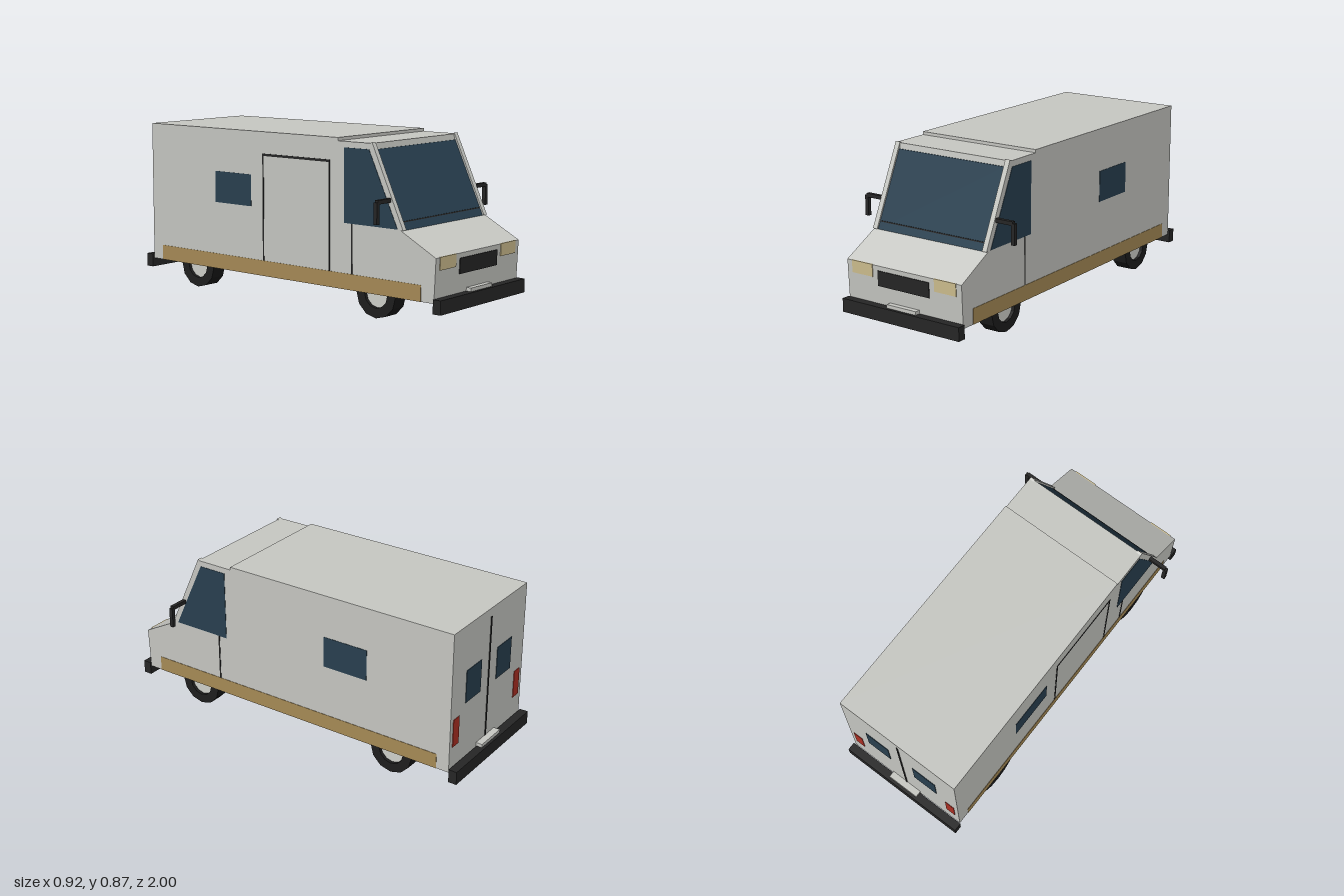
import * as THREE from 'three';

const paint = (name, color) => Object.assign(new THREE.MeshStandardMaterial({ color }), { name });

export function createModel() {
  const van = new THREE.Group();
  van.name = 'deliveryVan';
  const white = paint('bodyGrey', 0xc8c9c4);
  const glass = paint('darkGlass', 0x294050);
  const black = paint('blackTrim', 0x262626);
  const tyreBlack = paint('tyreRubber', 0x1e1e1e);
  const tan = paint('tanStripe', 0xa88c57);
  const lamp = paint('headlightYellow', 0xd0c090);
  const red = paint('tailLightRed', 0xb03024);
  const hubGrey = paint('hubGrey', 0xd2d3cd);

  const add = (name, geometry, material) => {
    const mesh = new THREE.Mesh(geometry, material);
    mesh.name = name;
    van.add(mesh);
    return mesh;
  };
  // Box given by its limits
  const box = (name, material, x0, x1, y0, y1, z0, z1) => {
    const mesh = add(name, new THREE.BoxGeometry(x1 - x0, y1 - y0, z1 - z0), material);
    mesh.position.set((x0 + x1) / 2, (y0 + y1) / 2, (z0 + z1) / 2);
    return mesh;
  };
  // Side profile of [z, y] points, extruded from x0 to x1
  const prism = (name, material, points, x0, x1) => {
    const shape = new THREE.Shape(points.map(([z, y]) => new THREE.Vector2(z, y)));
    const geometry = new THREE.ExtrudeGeometry(shape, { depth: x1 - x0, bevelEnabled: false });
    geometry.rotateY(-Math.PI / 2).translate(x1, 0, 0);
    return add(name, geometry, material);
  };

  const W = 0.352;
  const T = 0.004;

  // Body shell: nose, bonnet, windscreen slope, cab roof and cargo box
  prism('body', white, [
    [-0.95, 0.12], [0.955, 0.12], [0.965, 0.337], [0.76, 0.445], [0.585, 0.82],
    [0.58, 0.85], [0.37, 0.85], [0.37, 0.866], [-0.95, 0.866],
  ], -W, W);

  // Windscreen and the dark line across its foot
  prism('windscreen', glass, [[0.759, 0.445], [0.764, 0.445], [0.589, 0.82], [0.584, 0.82]], -0.325, 0.325);
  prism('windscreenLine', black, [[0.743, 0.481], [0.75, 0.481], [0.748, 0.486], [0.741, 0.486]], -0.32, 0.32);

  // Nose: grille and number plates
  prism('grille', black, [[0.955, 0.235], [0.965, 0.235], [0.968, 0.313], [0.958, 0.313]], -0.158, 0.158);
  box('frontPlate', white, -0.09, 0.09, 0.08, 0.16, 0.95, 0.985);
  box('rearPlate', white, -0.09, 0.09, 0.08, 0.16, -0.985, -0.945);

  // Bumpers
  box('frontBumper', black, -0.36, 0.36, 0.072, 0.142, 0.955, 1);
  box('rearBumper', black, -0.36, 0.36, 0.072, 0.142, -1, -0.955);

  // Ring-shaped tyre section, turned about the axle
  const tyreSection = [[0.07, -0.042], [0.12, -0.042], [0.12, 0.042], [0.07, 0.042], [0.07, -0.042]]
    .map(([r, x]) => new THREE.Vector2(r, x));
  const tyreShape = new THREE.LatheGeometry(tyreSection, 12).toNonIndexed();
  tyreShape.computeVertexNormals();
  tyreShape.rotateZ(Math.PI / 2);
  const hubShape = new THREE.CylinderGeometry(0.071, 0.071, 0.05, 12).rotateZ(Math.PI / 2);

  for (const s of [1, -1]) {
    const side = s > 0 ? 'left' : 'right';
    // Limits on x are mirrored for the other side
    const mBox = (name, mat, a, b, ...rest) =>
      box(side + name, mat, Math.min(s * a, s * b), Math.max(s * a, s * b), ...rest);
    const mPrism = (name, mat, pts, a, b) =>
      prism(side + name, mat, pts, Math.min(s * a, s * b), Math.max(s * a, s * b));

    // Windscreen pillar standing proud of the glass
    mPrism('Pillar', white, [[0.74, 0.447], [0.772, 0.447], [0.582, 0.856], [0.57, 0.85], [0.57, 0.8]], 0.325, W);

    // Side windows, door line and lower stripe
    mPrism('CabWindow', glass, [[0.41, 0.45], [0.74, 0.45], [0.565, 0.82], [0.41, 0.82]], W - T, W + T / 2);
    mBox('SideWindow', glass, W - T, W + T / 2, 0.475, 0.64, -0.468, -0.212);
    mBox('CabDoorLine', black, W - T, W + T / 2, 0.2, 0.45, 0.456, 0.464);
    mBox('Stripe', tan, W - T, W + T / 2, 0.12, 0.2, -0.88, 0.88);

    // Headlight, tail light and rear door window
    mPrism('Headlight', lamp, [[0.956, 0.275], [0.966, 0.275], [0.968, 0.339], [0.958, 0.339]], 0.19, 0.32);
    mBox('TailLight', red, 0.272, 0.327, 0.25, 0.4, -0.953, -0.946);
    mBox('RearWindow', glass, 0.077, 0.219, 0.445, 0.62, -0.953, -0.946);

    // Mirror on an arm
    mBox('MirrorArm', black, 0.345, 0.452, 0.576, 0.596, 0.68, 0.7);
    mBox('Mirror', black, 0.442, 0.462, 0.48, 0.586, 0.68, 0.7);

    // Wheels
    for (const [end, z] of [['Front', 0.605], ['Rear', -0.615]]) {
      add(side + end + 'Tyre', tyreShape, tyreBlack).position.set(s * 0.304, 0.12, z);
      add(side + end + 'Hub', hubShape, hubGrey).position.set(s * 0.304, 0.12, z);
    }
  }

  // Sliding door outline on the right side only
  box('slidingDoorRearLine', black, -W - T / 2, -W + T, 0.2, 0.75, -0.131, -0.123);
  box('slidingDoorFrontLine', black, -W - T / 2, -W + T, 0.2, 0.75, 0.311, 0.319);
  box('slidingDoorTopLine', black, -W - T / 2, -W + T, 0.742, 0.754, -0.131, 0.319);

  // Split between the rear doors
  box('rearDoorLine', black, -0.005, 0.005, 0.13, 0.82, -0.953, -0.946);

  return van;
}
